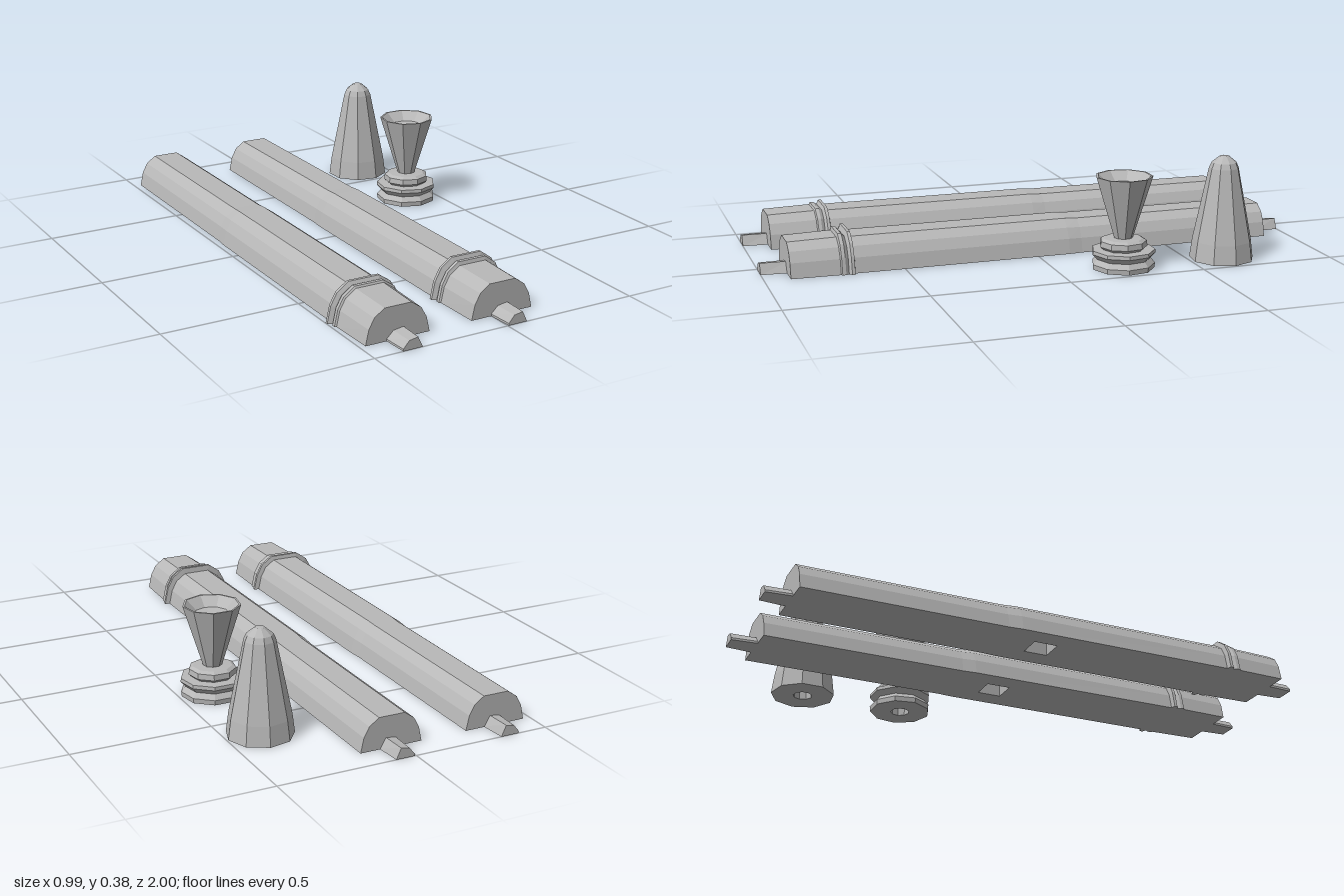
import * as THREE from 'three';

const grey = new THREE.MeshStandardMaterial({ color: 0xb8b8b8 });
grey.name = 'plain grey';

// Right half of the domed rod section, as fractions of half width and height
const half = [[1, 0], [0.9, 0.45], [0.73, 0.76], [0.42, 0.98]];
const dome = [...half, ...half.map(([x, y]) => [-x, y]).reverse()];

// Faceted mesh with one normal per face
function facet(geometry, name) {
  const g = geometry.index ? geometry.toNonIndexed() : geometry;
  g.computeVertexNormals();
  const mesh = new THREE.Mesh(g, grey);
  mesh.name = name;
  return mesh;
}

// Skin a section along z; stations are [z, halfWidth, height] from back to front
function loft(section, stations) {
  const rings = stations.map(([z, w, h]) => section.map(([x, y]) => [x * w, y * h, z]));
  const pos = [];
  const tri = (...p) => p.forEach((v) => pos.push(...v));
  for (let s = 0; s < rings.length - 1; s++) {
    const a = rings[s], b = rings[s + 1];
    for (let i = 0; i < section.length - 1; i++) {
      tri(a[i], a[i + 1], b[i]);
      tri(a[i + 1], b[i + 1], b[i]);
    }
  }
  const back = rings[0], front = rings[rings.length - 1];
  for (let i = 1; i < section.length - 1; i++) {
    tri(front[0], front[i], front[i + 1]);
    tri(back[0], back[i + 1], back[i]);
  }
  const g = new THREE.BufferGeometry();
  g.setAttribute('position', new THREE.Float32BufferAttribute(pos, 3));
  return g;
}

function turned(points, sides, name) {
  return facet(new THREE.LatheGeometry(points.map(([r, y]) => new THREE.Vector2(r, y)), sides), name);
}

function makeRod(name, x, collarHeight) {
  const rod = new THREE.Group();
  rod.name = name;
  const c = collarHeight;
  const stations = [
    [-0.908, 0.114, 0.116], [-0.17, 0.115, 0.117], [-0.12, 0.119, 0.12],
    [0.68, 0.12, 0.12],
    [0.684, 0.138, c], [0.695, 0.138, c], [0.703, 0.122, 0.122],
    [0.715, 0.13, c - 0.006], [0.728, 0.13, c - 0.006], [0.732, 0.124, 0.122],
    [0.908, 0.119, 0.118],
  ];
  rod.add(facet(loft(dome, stations), 'rodBody'));

  // Flat underside with a square socket
  const outline = [
    ...stations.map(([z, w]) => new THREE.Vector2(w, z)),
    ...stations.map(([z, w]) => new THREE.Vector2(-w, z)).reverse(),
  ];
  const under = new THREE.Shape(outline);
  const s = 0.043;
  under.holes.push(new THREE.Path([[-s, -s], [-s, s], [s, s], [s, -s]].map((p) => new THREE.Vector2(...p))));
  rod.add(facet(new THREE.ShapeGeometry(under).rotateX(Math.PI / 2), 'underside'));
  const r = s * Math.SQRT2;
  const socket = turned([[0, 0.07], [r, 0.07], [r, 0]], 4, 'socket');
  socket.rotation.y = Math.PI / 4;
  rod.add(socket);

  // Tenons at both ends
  const peg = [[1, 0], [0.5, 1], [-0.4, 0.85], [-1, 0.2], [-1, 0], [1, 0]];
  rod.add(facet(loft(peg, [[0.9, 0.042, 0.038], [1, 0.036, 0.038]]), 'frontTenon'));
  rod.add(facet(loft(peg, [[-1, 0.034, 0.038], [-0.9, 0.042, 0.038]]), 'backTenon'));
  rod.position.x = x;
  return rod;
}

export function createModel() {
  const model = new THREE.Group();
  model.name = 'rodAndFinialKit';
  model.add(makeRod('rightRod', -0.36, 0.135), makeRod('leftRod', 0.04, 0.141));

  // Flared cup on a ringed foot, hollow under the foot and in the rim
  const cup = turned([
    [0, 0.05], [0.035, 0.05], [0.035, 0], [0.112, 0], [0.114, 0.018], [0.098, 0.036],
    [0.115, 0.055], [0.114, 0.068], [0.075, 0.07], [0.086, 0.08], [0.084, 0.1], [0.07, 0.108],
    [0.034, 0.11], [0.103, 0.333], [0.096, 0.333], [0.06, 0.3], [0, 0.295],
  ], 9, 'flaredCup');
  cup.position.set(0.378, 0, -0.24);

  // Blunt cone with a socket underneath
  const cone = turned([
    [0, 0.06], [0.035, 0.06], [0.035, 0], [0.117, 0], [0.108, 0.07],
    [0.054, 0.335], [0.045, 0.355], [0.017, 0.378], [0, 0.38],
  ], 9, 'bluntCone');
  cone.position.set(0.378, 0, -0.625);
  cone.rotation.y = 0.2;

  model.add(cup, cone);
  return model;
}
